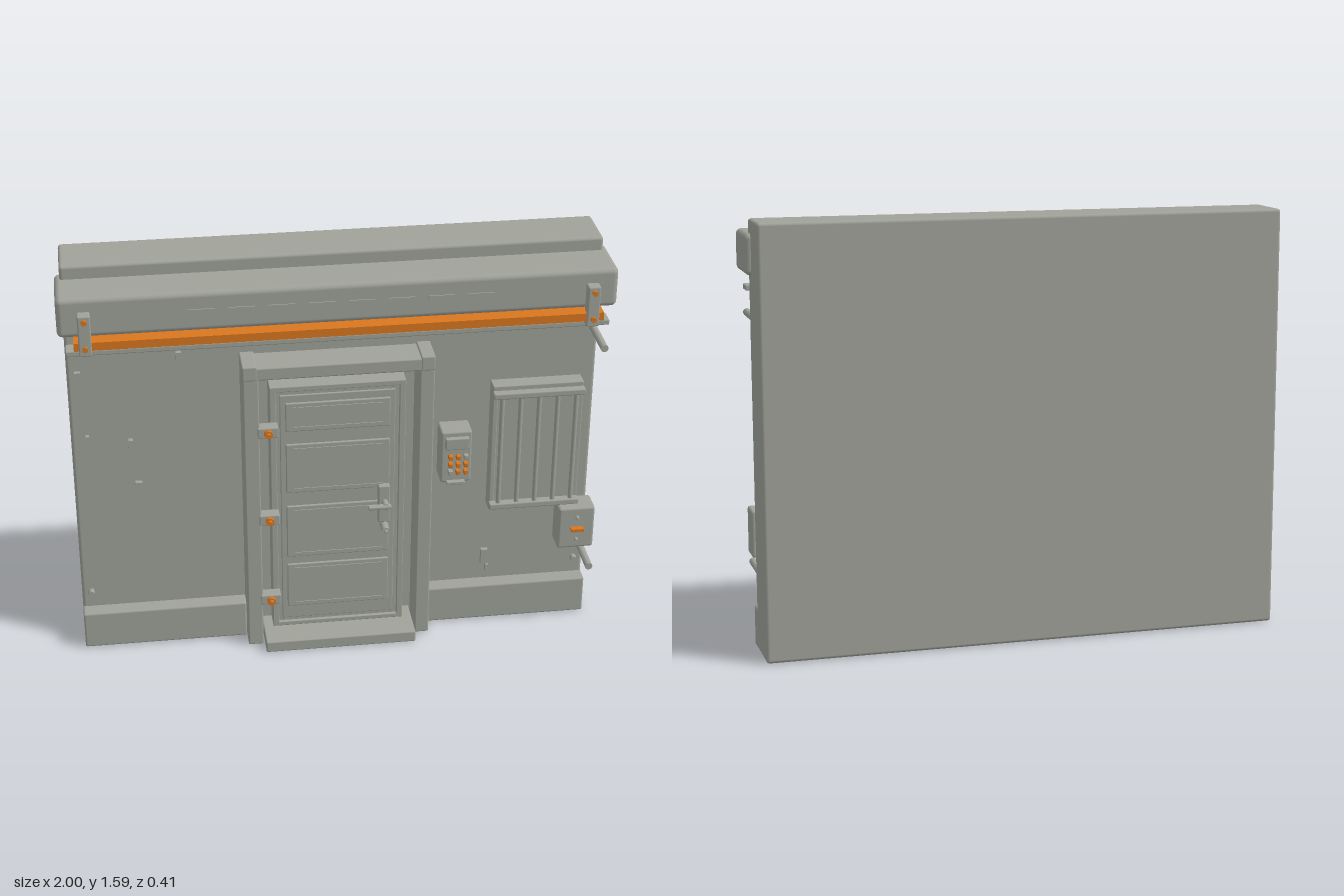
import * as THREE from 'three';
import { RoundedBoxGeometry } from 'three/addons/geometries/RoundedBoxGeometry.js';

export function createModel() {
  const root = new THREE.Group();
  root.name = 'wallWithDoor';
  const grey = new THREE.MeshStandardMaterial({ color: 0xa0a29a });
  grey.name = 'concreteGrey';
  const orange = new THREE.MeshStandardMaterial({ color: 0xd9771f });
  orange.name = 'accentOrange';

  // Box given by its limits; r rounds the edges
  function box(name, x0, x1, y0, y1, z0, z1, r = 0, mat = grey) {
    const w = x1 - x0, h = y1 - y0, d = z1 - z0;
    const geo = r ? new RoundedBoxGeometry(w, h, d, 2, r) : new THREE.BoxGeometry(w, h, d);
    const m = new THREE.Mesh(geo, mat);
    m.position.set((x0 + x1) / 2, (y0 + y1) / 2, (z0 + z1) / 2);
    m.name = name;
    root.add(m);
    return m;
  }
  // Box given by its front centre and size
  const plate = (name, x, y, w, h, z0, z1, r = 0, mat = grey) =>
    box(name, x - w / 2, x + w / 2, y - h / 2, y + h / 2, z0, z1, r, mat);

  // Round pin pointing forwards
  function pin(name, x, y, r, z0, z1, mat = grey) {
    const g = new THREE.CylinderGeometry(r, r, z1 - z0, 16);
    g.rotateX(Math.PI / 2);
    const m = new THREE.Mesh(g, mat);
    m.position.set(x, y, (z0 + z1) / 2);
    m.name = name;
    root.add(m);
  }

  // Wall, top beam and skirting
  box('wall', -0.98, 0.975, 0.005, 1.59, -0.205, -0.003, 0.012);
  box('topBeam', -1, 0.995, 1.39, 1.54, -0.065, 0.162, 0.02);
  box('skirtingRight', -0.98, -0.355, 0.005, 0.157, -0.015, 0.054, 0.008);
  box('skirtingLeft', 0.345, 0.975, 0.005, 0.157, -0.015, 0.054, 0.008);

  // Beam slots
  for (let i = 0; i < 8; i++) plate('beamSlot', -0.497 + i * 0.142, 1.47, 0.094, 0.014, 0.155, 0.166);

  // Orange light strip, its lower rail and end brackets
  box('lightStrip', -0.945, 0.94, 1.355, 1.386, 0, 0.195, 0, orange);
  box('lowerRail', -0.975, 0.972, 1.318, 1.338, 0.1, 0.16, 0.004);
  for (const x of [-0.905, 0.9]) {
    plate('bracket', x, 1.412, 0.046, 0.156, 0.158, 0.2, 0.006);
    plate('bracketFoot', x, 1.345, 0.046, 0.02, 0.085, 0.2, 0.004);
    for (const y of [1.468, 1.365]) pin('bracketBolt', x, y, 0.01, 0.195, 0.21, orange);
  }

  // Door frame
  box('jambRight', -0.355, -0.297, 0.005, 1.2, -0.01, 0.12, 0.006);
  box('jambLeft', 0.292, 0.347, 0.005, 1.2, -0.01, 0.12, 0.006);
  box('header', -0.31, 0.305, 1.155, 1.205, -0.01, 0.12, 0.006);
  for (const [a, b] of [[-0.356, -0.302], [0.296, 0.348]])
    box('frameCorner', a, b, 1.155, 1.213, -0.01, 0.122, 0.006);
  box('threshold', -0.292, 0.287, 0.003, 0.05, -0.01, 0.178, 0.006);

  // Door: raised border, slab and panels
  box('doorSlab', -0.25, 0.245, 0.06, 1.1, -0.01, 0.07);
  box('doorStileRight', -0.255, -0.232, 0.06, 1.1, 0, 0.082, 0.003);
  box('doorStileLeft', 0.225, 0.248, 0.06, 1.1, 0, 0.082, 0.003);
  box('doorRailTop', -0.255, 0.248, 1.082, 1.103, 0, 0.082, 0.003);
  box('doorRailBottom', -0.255, 0.248, 0.057, 0.075, 0, 0.082, 0.003);
  box('doorLeaf', -0.218, 0.21, 0.09, 1.065, 0.06, 0.077, 0.003);
  for (const [a, b] of [[0.147, 0.338], [0.372, 0.596], [0.655, 0.862], [0.917, 1.035]]) {
    box('doorPanel', -0.198, 0.19, a, b, 0.07, 0.085, 0.004);
    box('panelGroove', -0.17, 0.165, b - 0.022, b - 0.016, 0.08, 0.088);
    box('panelGroove', -0.17, 0.165, a + 0.014, a + 0.02, 0.08, 0.088);
  }

  // Hinges
  for (const y of [0.94, 0.567, 0.21]) {
    plate('hingePlate', -0.266, y, 0.076, 0.042, 0.08, 0.127, 0.004);
    pin('hingePin', -0.266, y, 0.016, 0.12, 0.14, orange);
    pin('hingePinCap', -0.266, y, 0.009, 0.135, 0.152, orange);
  }

  // Handle and lock
  plate('handlePlate', 0.168, 0.592, 0.044, 0.158, 0.075, 0.108, 0.005);
  pin('handleStem', 0.17, 0.603, 0.012, 0.1, 0.145);
  box('handleLever', 0.102, 0.19, 0.596, 0.61, 0.13, 0.154, 0.005);
  pin('lockBarrel', 0.17, 0.495, 0.015, 0.075, 0.145);
  pin('lockKnob', 0.17, 0.495, 0.008, 0.14, 0.158);

  // Keypad
  box('keypadBody', 0.384, 0.5, 0.657, 0.872, -0.005, 0.087, 0.008);
  box('keypadScreen', 0.398, 0.487, 0.805, 0.852, 0.08, 0.105, 0.004);
  box('keypadLip', 0.405, 0.475, 0.654, 0.667, 0.08, 0.105, 0.003);
  for (let r = 0; r < 3; r++) {
    for (let c = 0; c < 3; c++) {
      const lit = (r * 3 + c) % 4 !== 2;
      plate('keypadButton', 0.419 + c * 0.029, 0.77 - r * 0.032, 0.017, 0.017, 0.082, 0.106, 0.003, lit ? orange : grey);
    }
  }

  // Barred window
  box('windowBack', 0.59, 0.912, 0.515, 1.02, -0.01, 0.035);
  box('windowSideRight', 0.58, 0.6, 0.505, 1.033, -0.01, 0.054, 0.004);
  box('windowSideLeft', 0.902, 0.922, 0.505, 1.033, -0.01, 0.054, 0.004);
  box('windowTop', 0.58, 0.922, 1.012, 1.035, -0.01, 0.054, 0.004);
  box('windowBottom', 0.58, 0.922, 0.503, 0.525, -0.01, 0.054, 0.004);
  for (let i = 0; i < 5; i++) {
    const bar = new THREE.Mesh(new THREE.CylinderGeometry(0.009, 0.009, 0.49, 12), grey);
    bar.position.set(0.613 + i * 0.07, 0.768, 0.068);
    bar.name = 'windowBar';
    root.add(bar);
  }
  for (const y of [1.005, 0.53]) box('barRail', 0.578, 0.924, y - 0.012, y + 0.012, 0.05, 0.083, 0.005);

  // Junction box
  box('junctionBox', 0.843, 0.983, 0.342, 0.52, 0.018, 0.115, 0.01);
  box('junctionMount', 0.87, 0.96, 0.37, 0.49, -0.01, 0.025);
  plate('junctionMark', 0.914, 0.432, 0.048, 0.012, 0.11, 0.138, 0, orange);
  for (const y of [0.48, 0.383]) pin('junctionScrew', 0.914, y, 0.007, 0.11, 0.135);

  // Projecting rods and wall bolts
  for (const y of [1.23, 0.29]) pin('rod', 0.957, y, 0.014, -0.01, 0.175);
  for (const x of [-0.944, 0.938])
    for (const y of [1.268, 0.225]) pin('wallBolt', x, y, 0.012, -0.01, 0.022);

  // Small raised chips on the wall: x, y, width, height
  const chips = [
    [-0.941, 1.14, 0.022, 0.07], [-0.575, 1.212, 0.019, 0.045], [-0.92, 0.88, 0.013, 0.06],
    [-0.763, 0.862, 0.017, 0.043], [-0.741, 0.685, 0.025, 0.034], [0.58, 0.263, 0.027, 0.064],
    [0.592, 0.212, 0.013, 0.03]
  ];
  for (const [x, y, w, h] of chips) plate('wallChip', x, y, w, h, -0.01, 0.015);

  return root;
}
